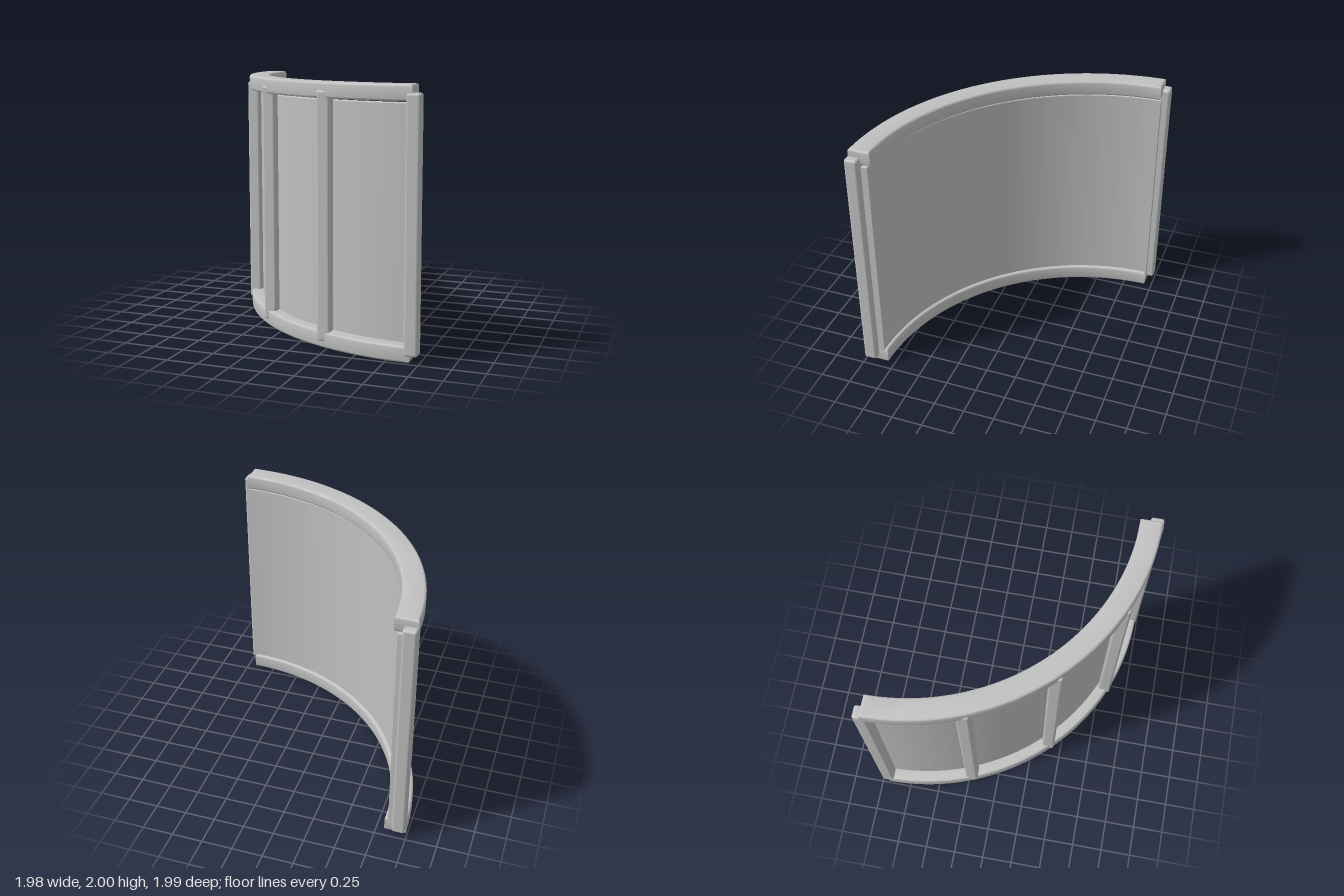
import * as THREE from 'three';
import { toCreasedNormals } from 'three/addons/utils/BufferGeometryUtils.js';
import { RoundedBoxGeometry } from 'three/addons/geometries/RoundedBoxGeometry.js';

// Centre of curvature of the quarter circle (x, z)
const CX = 0.93, CZ = -0.94;

// Quarter-ring slab with softened edges, standing between y0 and y1
function quarterRing(inner, outer, y0, y1, bevel) {
  const shape = new THREE.Shape();
  shape.absarc(CX, -CZ, outer, Math.PI, Math.PI * 1.5, false);
  shape.absarc(CX, -CZ, inner, Math.PI * 1.5, Math.PI, true);
  shape.closePath();
  const geometry = new THREE.ExtrudeGeometry(shape, {
    depth: y1 - y0 - 2 * bevel,
    curveSegments: 26,
    bevelEnabled: true,
    bevelSize: bevel,
    bevelThickness: bevel,
    bevelOffset: -bevel,
    bevelSegments: 3,
  });
  geometry.rotateX(-Math.PI / 2);
  geometry.translate(0, y0 + bevel, 0);
  return geometry;
}

export function createModel() {
  const group = new THREE.Group();
  const grey = new THREE.MeshStandardMaterial({ color: 0xc0c0c0 });
  grey.name = 'plain grey';

  const add = (name, geometry) => {
    const mesh = new THREE.Mesh(geometry, grey);
    mesh.name = name;
    group.add(mesh);
    return mesh;
  };

  // Curved top and bottom rails
  const rail = (y0, y1) => toCreasedNormals(quarterRing(1.745, 1.92, y0, y1, 0.018), 0.6);
  add('bottomRail', rail(0, 0.125));
  add('topRail', rail(1.88, 2));

  // Thin curved wall, faceted, recessed between the rails
  add('curvedPanel', quarterRing(1.773, 1.825, 0.11, 1.868, 0.008));

  // Square upright posts, all set parallel to the axes
  const posts = [[-0.938, -0.947], [-0.8, -0.225], [-0.393, 0.387], [0.218, 0.797], [0.938, 0.938]];
  const postGeometry = new RoundedBoxGeometry(0.105, 1.89, 0.105, 3, 0.02);
  posts.forEach(([x, z], i) => {
    add('post' + (i + 1), postGeometry).position.set(x, 0.995, z);
  });

  return group;
}
